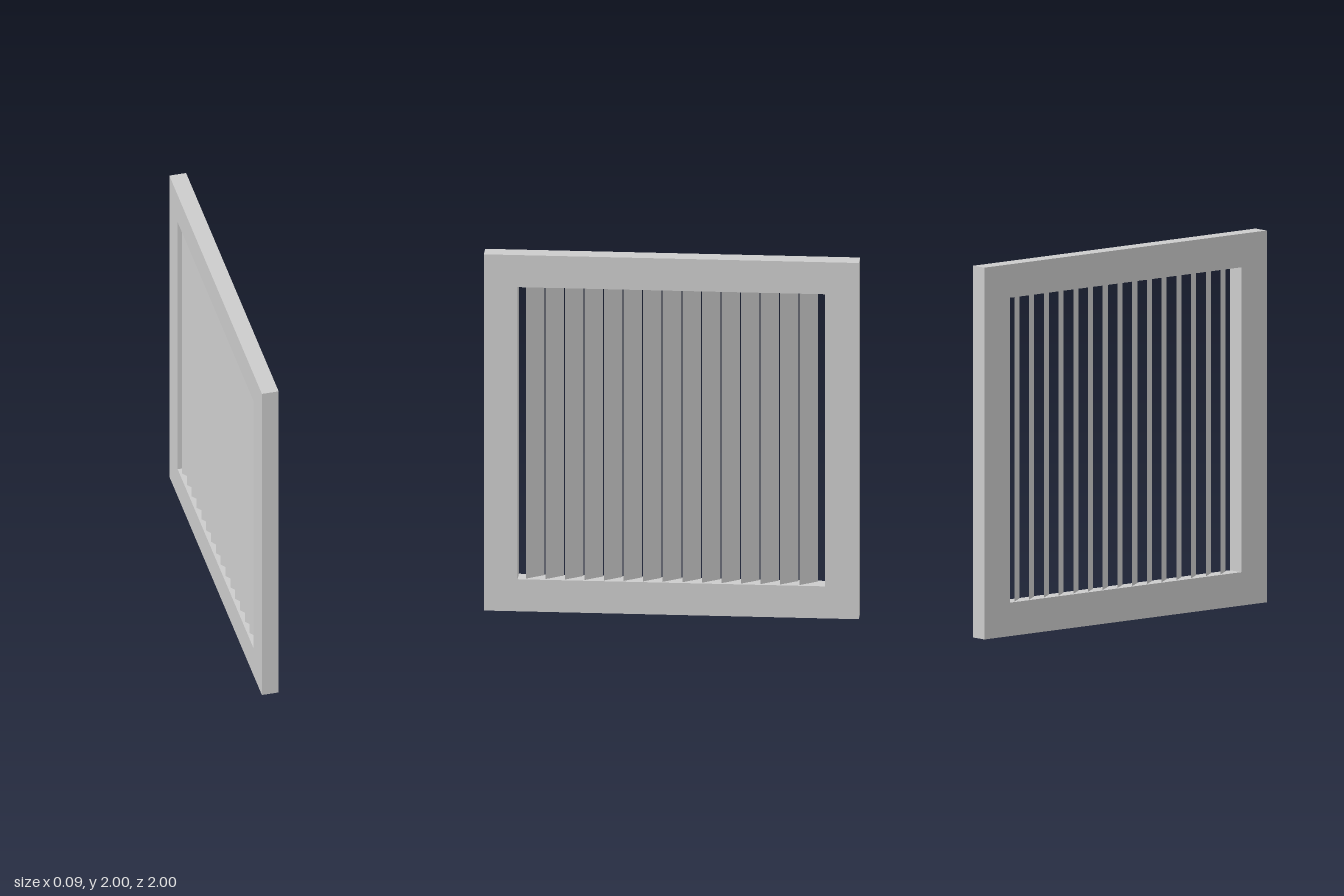
import * as THREE from 'three';

export function createModel() {
  const group = new THREE.Group();
  const grey = new THREE.MeshStandardMaterial({ color: 0xcccccc });
  const slatGrey = new THREE.MeshStandardMaterial({ color: 0xcccccc, side: THREE.DoubleSide });

  const depth = 0.092;   // frame thickness along x
  const inner = 0.82;    // half size of the square opening

  // Square frame with an opening, turned to lie in the yz plane
  const square = (Type, h) => new Type([
    new THREE.Vector2(-h, -h), new THREE.Vector2(h, -h),
    new THREE.Vector2(h, h), new THREE.Vector2(-h, h),
  ]);
  const outline = square(THREE.Shape, 1);
  outline.holes.push(square(THREE.Path, inner));
  const frameGeometry = new THREE.ExtrudeGeometry(outline, { depth, bevelEnabled: false });
  frameGeometry.translate(0, 0, -depth / 2).rotateY(Math.PI / 2).translate(0, 1, 0);
  const frame = new THREE.Mesh(frameGeometry, grey);
  frame.name = 'frame';
  group.add(frame);

  // Thin upright slats, each turned by the same angle about its own axis
  const slats = new THREE.Group();
  slats.name = 'slats';
  const count = 15, pitch = 0.1043;
  const slatGeometry = new THREE.PlaneGeometry(0.115, inner * 2);
  for (let i = 0; i < count; i++) {
    const slat = new THREE.Mesh(slatGeometry, slatGrey);
    slat.name = 'slat';
    slat.position.set(0, 1, (i - (count - 1) / 2) * pitch);
    slat.rotation.y = THREE.MathUtils.degToRad(-55);
    slats.add(slat);
  }
  group.add(slats);

  return group;
}
